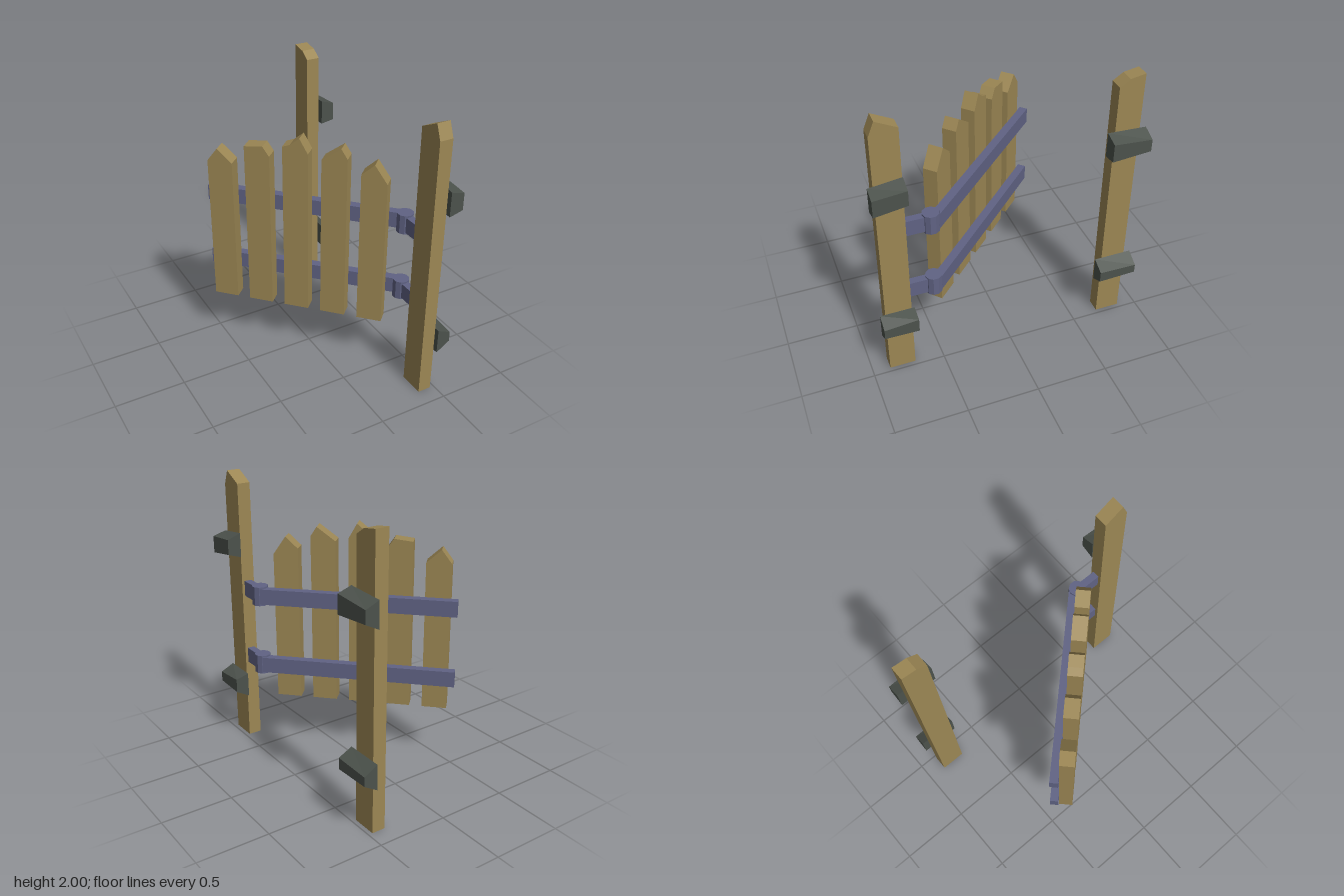
import * as THREE from 'three';

const material = (color) => new THREE.MeshStandardMaterial({ color, flatShading: true });

export function createModel() {
  const wood = material(0x9c8754);
  const iron = material(0x606384);
  const dark = material(0x4c524c);
  const model = new THREE.Group();
  model.name = 'gate';

  const add = (parent, name, geometry, mat, x = 0, y = 0, z = 0) => {
    const mesh = new THREE.Mesh(geometry, mat);
    mesh.name = name;
    mesh.position.set(x, y, z);
    parent.add(mesh);
    return mesh;
  };

  // Flat outline extruded to a board, centred on its thickness
  const board = (points, depth) => {
    const shape = new THREE.Shape(points.map(([x, y]) => new THREE.Vector2(x, y)));
    return new THREE.ExtrudeGeometry(shape, { depth, bevelEnabled: false }).translate(0, 0, -depth / 2);
  };

  // Posts with rough-cut tops, outlines given as [z, y]
  const posts = {
    frontPost: [[0.7, 0], [0.88, 0], [0.88, 1.9], [0.84, 2], [0.7, 1.93]],
    backPost: [[-0.87, 0], [-0.695, 0], [-0.695, 1.895], [-0.765, 1.942], [-0.87, 1.96]],
  };
  for (const [name, outline] of Object.entries(posts)) {
    add(model, name, board(outline, 0.095).rotateY(-Math.PI / 2), wood, 0.422);
  }

  // Tapered wall blocks: each end is [z, post bottom, outer bottom, outer top, post top]
  const blocks = {
    frontUpperBlock: [[0.695, 1.41, 1.443, 1.55, 1.585], [0.915, 1.385, 1.41, 1.53, 1.557]],
    frontLowerBlock: [[0.68, 0.335, 0.39, 0.49, 0.515], [0.915, 0.335, 0.397, 0.47, 0.515]],
    backUpperBlock: [[-0.915, 1.387, 1.437, 1.525, 1.565], [-0.645, 1.4, 1.415, 1.545, 1.577]],
    backLowerBlock: [[-0.915, 0.337, 0.395, 0.46, 0.515], [-0.645, 0.337, 0.387, 0.467, 0.515]],
  };
  for (const [name, ends] of Object.entries(blocks)) {
    const geometry = new THREE.BoxGeometry(1, 1, 1);
    const p = geometry.attributes.position;
    for (let i = 0; i < p.count; i++) {
      const outer = p.getX(i) > 0;
      const top = p.getY(i) > 0;
      const [z, low, outerLow, outerHigh, high] = ends[p.getZ(i) > 0 ? 1 : 0];
      p.setXYZ(i, outer ? 0.567 : 0.47, top ? (outer ? outerHigh : high) : (outer ? outerLow : low), z);
    }
    geometry.computeVertexNormals();
    add(model, name, geometry, dark);
  }

  // Half-open gate leaf
  const leaf = new THREE.Group();
  leaf.name = 'gateLeaf';
  leaf.position.set(-0.111, 0, 0.043);
  leaf.rotation.y = -THREE.MathUtils.degToRad(46.2);
  model.add(leaf);

  // Planks: top outline as [fraction of width, height]
  const width = 0.173;
  const tops = [
    [[0, 1.47], [0.41, 1.565], [1, 1.47]],
    [[0, 1.61], [0.74, 1.624], [1, 1.558]],
    [[0, 1.643], [0.3, 1.662], [0.67, 1.715], [1, 1.612]],
    [[0, 1.585], [0.75, 1.68], [1, 1.612]],
    [[0, 1.52], [0.5, 1.6], [1, 1.473]],
  ];
  tops.forEach((top, i) => {
    const outline = [[0, 0.405], [1, 0.405], ...top.slice().reverse()];
    const geometry = board(outline.map(([t, y]) => [(t - 0.5) * width, y]), 0.098);
    add(leaf, 'plank' + (i + 1), geometry, wood, (i - 2) * 0.263);
  });

  // Rails with hinge barrels and links to the front post
  [['lower', 0.655], ['upper', 1.172]].forEach(([name, y]) => {
    add(leaf, name + 'Rail', new THREE.BoxGeometry(1.37, 0.112, 0.058), iron, 0.02, y, -0.077);
    add(model, name + 'HingeBarrel', new THREE.CylinderGeometry(0.057, 0.057, 0.136, 10), iron, 0.424, y, 0.526);
    add(model, name + 'HingeLink', new THREE.BoxGeometry(0.052, 0.112, 0.19), iron, 0.424, y, 0.62);
  });

  return model;
}
